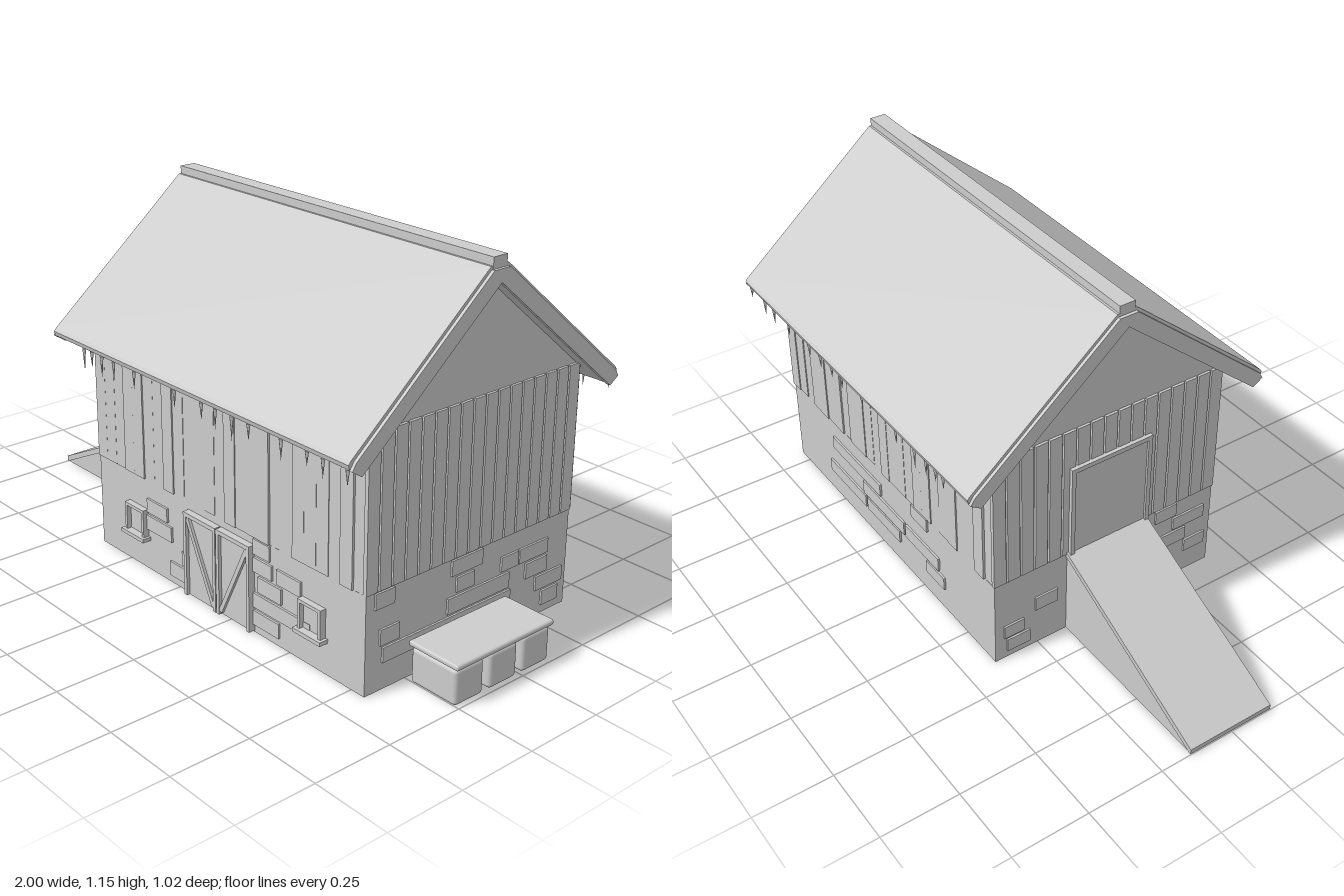
import * as THREE from 'three';
import { RoundedBoxGeometry } from 'three/addons/geometries/RoundedBoxGeometry.js';

export function createModel() {
  const root = new THREE.Group();
  root.name = 'barn';
  const grey = new THREE.MeshStandardMaterial({ color: 0xcccccc });
  grey.name = 'plain grey';

  const group = (name) => {
    const g = new THREE.Group();
    g.name = name;
    root.add(g);
    return g;
  };
  const add = (parent, name, geometry) => {
    const m = new THREE.Mesh(geometry, grey);
    m.name = name;
    parent.add(m);
    return m;
  };
  // box given by its limits on each axis
  const box = (parent, name, x0, x1, y0, y1, z0, z1) => {
    const m = add(parent, name, new THREE.BoxGeometry(x1 - x0, y1 - y0, z1 - z0));
    m.position.set((x0 + x1) / 2, (y0 + y1) / 2, (z0 + z1) / 2);
    return m;
  };
  // profile of [z, y] points swept along x
  const sweepX = (parent, name, points, x0, x1) => {
    const shape = new THREE.Shape(points.map(([z, y]) => new THREE.Vector2(z, y)));
    const g = new THREE.ExtrudeGeometry(shape, { depth: x1 - x0, bevelEnabled: false });
    g.rotateY(-Math.PI / 2).translate(x1, 0, 0);
    return add(parent, name, g);
  };
  let seed = 7;
  const rand = () => (seed = (seed * 16807) % 2147483647) / 2147483647;

  // walls
  const walls = group('walls');
  box(walls, 'stoneBase', -0.4, 0.8, 0, 0.3, -0.4, 0.4);
  sweepX(walls, 'gableCore', [[-0.395, 0.29], [0.395, 0.29], [0.395, 0.75], [0, 1.082], [-0.395, 0.75]], -0.395, 0.795);

  // vertical boards, evenly gapped on the gable ends
  const boards = group('boards');
  const pitch = 0.81 / 17;
  for (let i = 0; i < 17; i++) {
    const z = -0.405 + i * pitch;
    box(boards, 'rightBoard', 0.79, 0.803, 0.3, 0.75, z + 0.003, z + pitch - 0.003);
    box(boards, 'leftBoard', -0.403, -0.39, 0.3, 0.75, z + 0.003, z + pitch - 0.003);
  }
  // long walls: butted boards of uneven thickness
  for (const s of [-1, 1]) {
    for (let i = 0; i < 25; i++) {
      const x = -0.4 + i * 0.048;
      const face = 0.399 + rand() * 0.008;
      box(boards, 'longWallBoard', x, x + 0.048, 0.3, 0.745, s > 0 ? 0.39 : -face, s > 0 ? face : -0.39);
    }
  }

  // raised stones, each [from, to, row]
  const rows = [[0.027, 0.073], [0.083, 0.128], [0.137, 0.185], [0.195, 0.24], [0.25, 0.297]];
  const stones = group('stones');
  const sides = {
    right: [[0.3, 0.37, 4], [-0.036, 0.085, 4], [-0.005, 0.064, 3], [-0.185, -0.115, 3], [-0.31, -0.19, 3],
      [0.28, 0.35, 2], [-0.15, 0.097, 2], [-0.31, -0.22, 2], [0.08, 0.34, 1], [-0.158, 0.08, 1],
      [-0.38, -0.265, 1], [-0.365, -0.295, 0], [-0.005, 0.08, 0]],
    left: [[-0.37, -0.3, 1], [-0.36, -0.28, 0], [-0.26, -0.18, 2], [0.2, 0.3, 2], [0.25, 0.37, 3],
      [0.18, 0.26, 4], [0.3, 0.38, 1]],
    front: [[-0.19, -0.03, 2], [-0.15, -0.05, 3], [-0.04, 0.05, 0], [0.02, 0.05, 1], [0.35, 0.42, 4],
      [0.35, 0.43, 3], [0.45, 0.55, 3], [0.37, 0.47, 2], [0.35, 0.59, 1], [0.35, 0.46, 0]],
    back: [[0.24, 0.54, 3], [0.34, 0.57, 1], [0.1, 0.35, 2], [0.13, 0.33, 1], [-0.04, 0.05, 4],
      [-0.1, 0.09, 2], [-0.13, -0.03, 1]],
  };
  for (const [side, list] of Object.entries(sides)) {
    for (const [a, b, row] of list) {
      const [y0, y1] = rows[row];
      if (side === 'right') box(stones, 'rightStone', 0.79, 0.806, y0, y1, a, b);
      if (side === 'left') box(stones, 'leftStone', -0.406, -0.39, y0, y1, a, b);
      if (side === 'front') box(stones, 'frontStone', a, b, y0, y1, 0.39, 0.407);
      if (side === 'back') box(stones, 'backStone', a, b, y0, y1, -0.407, -0.39);
    }
  }

  // roof slopes, ridge cap and gable trim
  const roof = group('roof');
  for (const s of [-1, 1]) {
    const mirror = (pts) => pts.map(([z, y]) => [s * z, y]);
    sweepX(roof, 'roofSlope', mirror([[0, 1.122], [0.033, 1.122], [0.505, 0.725], [0.512, 0.716], [0.508, 0.702],
      [0.475, 0.682], [0, 1.08]]), -0.45, 0.845);
    const trim = mirror([[0, 1.113], [0.03, 1.113], [0.494, 0.722], [0.508, 0.7], [0.475, 0.678], [0, 1.076]]);
    sweepX(roof, 'gableTrim', trim, -0.46, -0.447);
    sweepX(roof, 'gableTrim', trim, 0.842, 0.855);
  }
  box(roof, 'ridgeCap', -0.45, 0.846, 1.11, 1.146, -0.026, 0.026);

  // icicles along both eaves
  const icicles = group('icicles');
  const spots = [-0.31, -0.27, -0.22, -0.16, -0.06, 0.13, 0.25, 0.31, 0.38, 0.45, 0.58, 0.68, 0.74, 0.83];
  for (const s of [-1, 1]) {
    for (const x of spots) {
      const len = 0.03 + rand() * 0.045;
      const m = add(icicles, 'icicle', new THREE.ConeGeometry(0.006, len, 6));
      m.rotation.x = Math.PI;
      m.position.set(x, 0.697 - len / 2, s * 0.5);
    }
  }

  // double door with diagonal braces
  const door = group('frontDoor');
  box(door, 'doorPanel', 0.05, 0.35, 0.005, 0.27, 0.39, 0.411);
  for (const s of [-1, 1]) {
    const X = (a, b) => (s > 0 ? [0.2 + a, 0.2 + b] : [0.2 - b, 0.2 - a]);
    box(door, 'outerStile', ...X(0.138, 0.15), 0.005, 0.275, 0.4, 0.422);
    box(door, 'innerStile', ...X(0.002, 0.014), 0.005, 0.275, 0.4, 0.422);
    box(door, 'topRail', ...X(0.014, 0.138), 0.262, 0.275, 0.4, 0.422);
    const brace = add(door, 'brace', new THREE.BoxGeometry(0.014, 0.27, 0.02));
    brace.position.set(0.2 + s * 0.076, 0.137, 0.41);
    brace.rotation.z = -s * Math.atan2(0.118, 0.24);
  }

  // small framed windows with sills
  for (const cx of [-0.2, 0.6]) {
    const w = group('window');
    box(w, 'pane', cx - 0.04, cx + 0.04, 0.11, 0.19, 0.39, 0.405);
    for (const s of [-1, 1]) box(w, 'jamb', cx + s * 0.042 - 0.005, cx + s * 0.042 + 0.005, 0.1, 0.2, 0.39, 0.42);
    box(w, 'head', cx - 0.037, cx + 0.037, 0.19, 0.2, 0.39, 0.42);
    box(w, 'sill', cx - 0.056, cx + 0.056, 0.099, 0.111, 0.39, 0.43);
  }

  // loft door above the ramp
  const loft = group('loftDoor');
  box(loft, 'loftPanel', -0.408, -0.39, 0.3, 0.61, -0.13, 0.13);
  for (const s of [-1, 1]) box(loft, 'loftJamb', -0.415, -0.39, 0.3, 0.62, s * 0.136 - 0.007, s * 0.136 + 0.007);
  box(loft, 'loftHead', -0.415, -0.39, 0.605, 0.62, -0.129, 0.129);

  // solid ramp with a deck on top
  const ramp = group('ramp');
  const prism = (name, pts, z0, z1) => {
    const shape = new THREE.Shape(pts.map(([x, y]) => new THREE.Vector2(x, y)));
    add(ramp, name, new THREE.ExtrudeGeometry(shape, { depth: z1 - z0, bevelEnabled: false }).translate(0, 0, z0));
  };
  prism('rampBody', [[-0.99, 0], [-0.395, 0], [-0.395, 0.295], [-0.99, 0.006]], -0.146, 0.138);
  prism('rampDeck', [[-1, 0.004], [-0.995, 0.002], [-0.395, 0.293], [-0.395, 0.312], [-1, 0.02]], -0.15, 0.142);

  // three rounded bins under one shelf
  const bins = group('bins');
  for (const z of [0.201, 0.07, -0.06]) {
    add(bins, 'bin', new RoundedBoxGeometry(0.165, 0.108, 0.108, 3, 0.012)).position.set(0.908, 0.055, z);
  }
  add(bins, 'shelf', new RoundedBoxGeometry(0.18, 0.017, 0.38, 3, 0.007)).position.set(0.91, 0.121, 0.071);

  return root;
}
